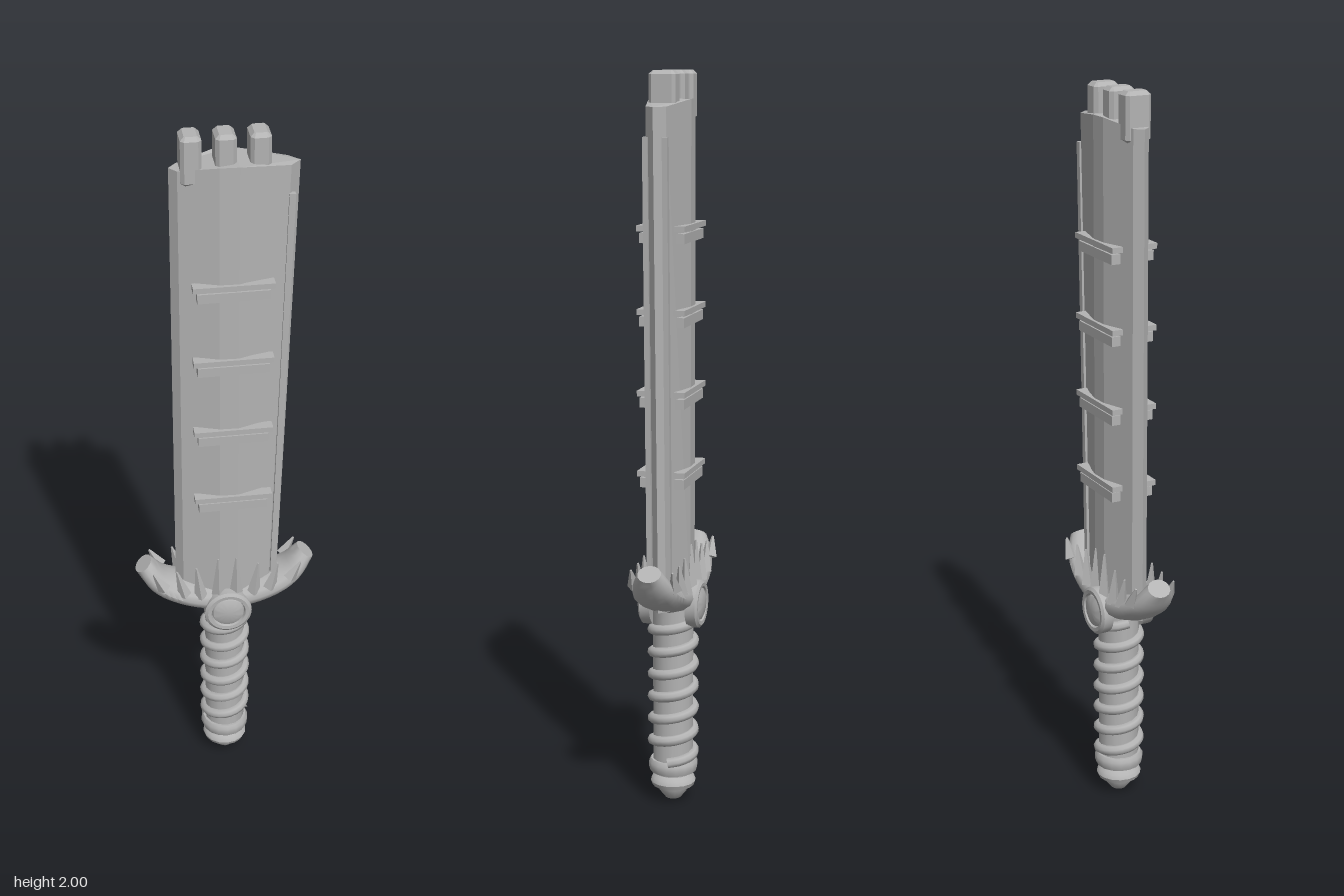
import * as THREE from 'three';
import { mergeVertices, toCreasedNormals } from 'three/addons/utils/BufferGeometryUtils.js';

export function createModel() {
  const model = new THREE.Group();
  const steel = new THREE.MeshStandardMaterial({ color: 0xb3b3b3 });
  steel.name = 'grey steel';

  const add = (name, geometry, x = 0, y = 0, z = 0) => {
    const mesh = new THREE.Mesh(geometry, steel);
    mesh.name = name;
    mesh.position.set(x, y, z);
    model.add(mesh);
    return mesh;
  };
  const crease = (g, angle = 0.6) => toCreasedNormals(g, angle);
  const lathe = (pts, n = 16) =>
    crease(new THREE.LatheGeometry(pts.map(p => new THREE.Vector2(...p)), n), 0.7);

  // Blade: faceted lens section, its cutting edge leaning outwards to the top
  const half = [[-0.137, 0], [-0.118, 0.022], [-0.02, 0.055], [0.03, 0.057], [0.16, 0.027], [0.187, 0]];
  const outline = [...half, ...half.slice(1, -1).reverse().map(([x, z]) => [x, -z])];
  const blade = new THREE.ExtrudeGeometry(
    new THREE.Shape(outline.map(p => new THREE.Vector2(...p))),
    { depth: 1.33, bevelEnabled: false });
  blade.rotateX(-Math.PI / 2);
  const bp = blade.attributes.position;
  for (let i = 0; i < bp.count; i++) {
    const x = bp.getX(i), top = bp.getY(i) > 1;
    if (!top && x > 0.1) bp.setX(i, x - 0.042);
    if (top && Math.abs(x) < 0.05) bp.setY(i, 1.347);
  }
  blade.computeVertexNormals();
  add('blade', blade, 0, 0.58, 0);

  // Strips beside the cutting edge, and raised double bars on both faces
  for (const s of [1, -1]) {
    const strip = add('edgeStrip', new THREE.BoxGeometry(0.016, 1.17, 0.014), 0.148, 1.25, s * 0.026);
    strip.rotation.z = -0.027;
    for (const y of [1.6, 1.383, 1.168, 0.953]) {
      add('upperBar', new THREE.BoxGeometry(0.208, 0.015, 0.03), 0.016, y, s * 0.05);
      add('lowerBar', new THREE.BoxGeometry(0.186, 0.026, 0.026), 0.016, y - 0.026, s * 0.048);
    }
  }

  // Chamfered pegs on the blade's end
  const pegShape = (w, d, c) => new THREE.Shape([
    [-w + c, -d], [w - c, -d], [w, -d + c], [w, d - c],
    [w - c, d], [-w + c, d], [-w, d - c], [-w, -d + c]].map(p => new THREE.Vector2(...p)));
  for (const x of [-0.085, 0, 0.085]) {
    const g = new THREE.ExtrudeGeometry(pegShape(0.016, 0.026, 0.003),
      { depth: 0.11, bevelThickness: 0.01, bevelSize: 0.01, bevelSegments: 1 });
    add('endPeg', g.rotateX(-Math.PI / 2), x, 1.88, 0);
  }

  // Crescent guard: a cylinder bent along a curve, thinner at its tips
  const path = new THREE.CatmullRomCurve3([
    [-0.227, 0.71], [-0.18, 0.65], [-0.1, 0.612], [0, 0.597], [0.1, 0.612], [0.18, 0.65], [0.227, 0.71],
  ].map(([x, y]) => new THREE.Vector3(x, y, 0)));
  let guard = new THREE.CylinderGeometry(1, 1, 1, 14, 28);
  const gp = guard.attributes.position;
  for (let i = 0; i < gp.count; i++) {
    const t = THREE.MathUtils.clamp(gp.getY(i) + 0.5, 0, 1), e = Math.abs(t * 2 - 1);
    const c = path.getPoint(t), d = path.getTangent(t);
    const r = gp.getX(i) * (0.046 - 0.018 * e), w = 0.074 - 0.042 * e ** 3;
    gp.setXYZ(i, c.x + d.y * r, c.y - d.x * r, gp.getZ(i) * w);
  }
  guard.deleteAttribute('normal');
  guard.deleteAttribute('uv');
  guard = mergeVertices(guard);
  add('guard', crease(guard, 0.8));

  // Spikes in two rows along the guard: x, base y, height, lean
  const spikes = [[0.025, 0.64, 0.12, 0], [0.08, 0.635, 0.1, 0.12],
    [0.13, 0.645, 0.085, 0.25], [0.19, 0.67, 0.06, 0.5]];
  for (const sx of [1, -1]) for (const sz of [1, -1]) for (const [x, y, h, lean] of spikes) {
    const g = new THREE.CylinderGeometry(0.003, 0.019, h, 4).toNonIndexed();
    g.computeVertexNormals();
    const spike = add('guardSpike', g, sx * x, y + h / 2 - 0.015, sz * 0.057);
    spike.rotation.z = -sx * lean;
  }

  // Round bosses in the middle of the guard, front and back
  const bossProfile = [[0, 0.088], [0.03, 0.086], [0.043, 0.08], [0.045, 0.075],
    [0.048, 0.083], [0.058, 0.084], [0.066, 0.078], [0.066, 0.05], [0, 0.05]].reverse();
  for (const s of [1, -1]) {
    const boss = add('guardBoss', lathe(bossProfile, 28), 0, 0.573, 0);
    boss.rotation.x = s * Math.PI / 2;
  }

  // Grip with a cord wound around it
  add('grip', crease(new THREE.CylinderGeometry(0.056, 0.056, 0.47, 14)), 0, 0.335, 0);
  const turns = 6.5, cord = [];
  for (let i = 0; i <= turns * 12; i++) {
    const a = -i / 12 * Math.PI * 2;
    cord.push(new THREE.Vector3(0.057 * Math.cos(a), 0.125 + 0.415 * i / (turns * 12), 0.057 * Math.sin(a)));
  }
  add('gripCord', new THREE.TubeGeometry(new THREE.CatmullRomCurve3(cord), 160, 0.0145, 8));

  // Stepped pommel with a rounded tip
  add('pommel', lathe([[0, 0], [0.022, 0.008], [0.038, 0.028], [0.042, 0.04], [0.058, 0.046],
    [0.063, 0.058], [0.058, 0.07], [0.046, 0.078], [0.046, 0.086], [0.064, 0.088],
    [0.068, 0.1], [0.068, 0.114], [0.062, 0.124], [0, 0.124]]));

  return model;
}
